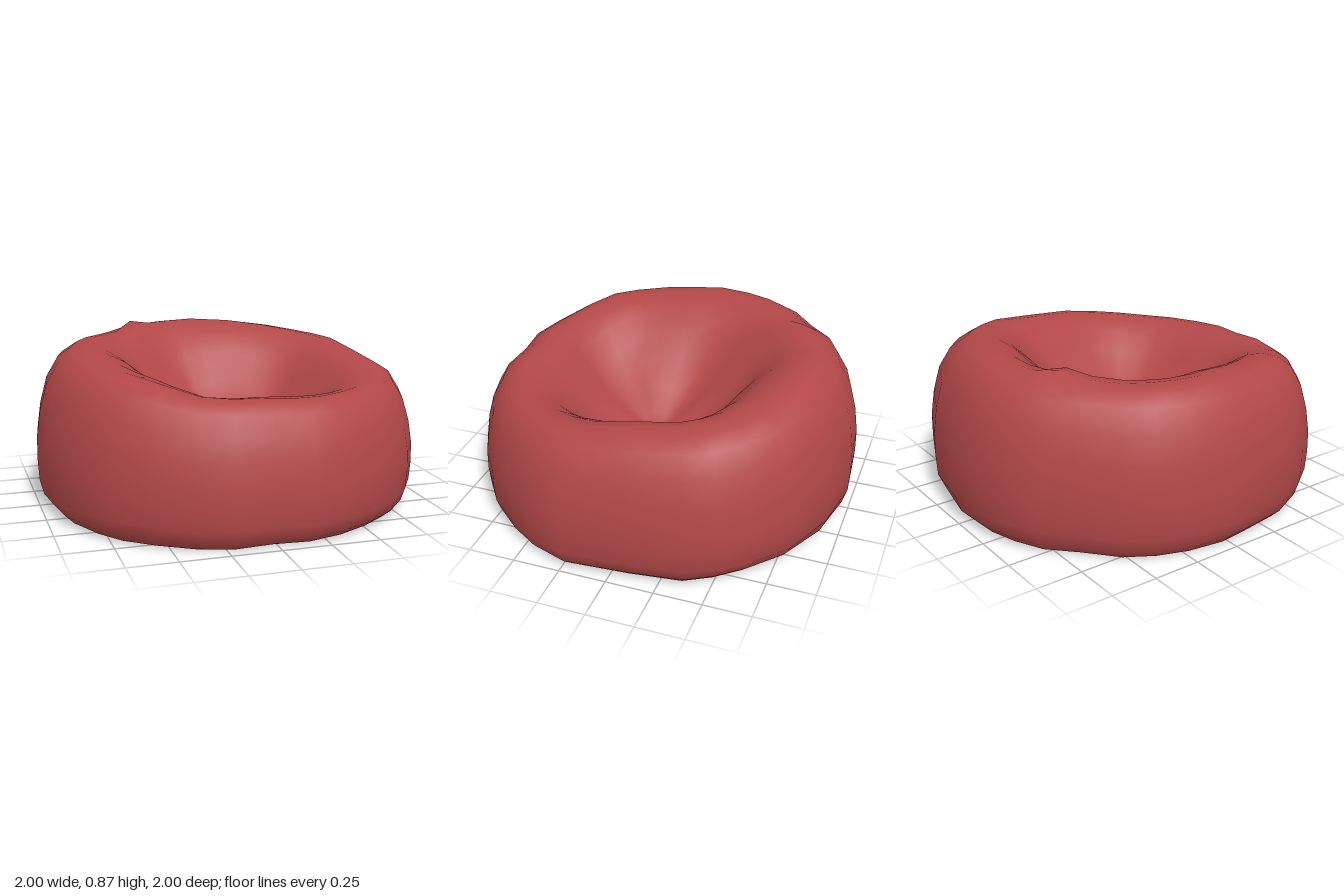
import * as THREE from 'three';

// Widest outline of the cushion as x, z pairs, running back -> left -> front -> right
const OUTLINE = [
  0.03, -1, 0.33, -0.95, 0.6, -0.83, 0.77, -0.68, 0.88, -0.54, 0.955, -0.39, 0.98, -0.1, 1, 0.24,
  0.93, 0.44, 0.83, 0.6, 0.7, 0.75, 0.55, 0.86, 0.37, 0.95, 0.18, 1, -0.02, 0.985, -0.22, 1,
  -0.41, 0.945, -0.6, 0.83, -0.75, 0.71, -0.85, 0.57, -0.945, 0.37, -0.98, 0.14, -1, -0.03,
  -0.97, -0.24, -0.91, -0.41, -0.82, -0.56, -0.65, -0.71, -0.51, -0.85, -0.35, -0.93, -0.19, -0.98,
];

// Rim height every 22.5 degrees, from +x towards +z
const RIM = [
  0.74, 0.7, 0.668, 0.67, 0.683, 0.697, 0.768, 0.79,
  0.82, 0.825, 0.825, 0.84, 0.852, 0.835, 0.8, 0.775,
];

// Outer wall: radius fraction, height fraction of the rim, z shift of the ring
const WALL = [
  [0.83, 0.004, -0.08], [0.925, 0.006, 0], [0.972, 0.065, 0], [0.993, 0.16, 0], [1, 0.3, 0],
  [0.998, 0.45, 0], [0.978, 0.62, 0], [0.94, 0.79, 0], [0.875, 0.925, 0], [0.8, 0.985, 0],
];

// Seat hollow: fraction of the way from its centre to the rim, height fraction
const HOLLOW = [[1, 1], [0.89, 0.965], [0.78, 0.86], [0.65, 0.65], [0.52, 0.44], [0.36, 0.26], [0.18, 0.11]];
const DIP = new THREE.Vector3(0.05, 0.27, 0.07);

function rimHeight(a) {
  const u = ((a / (Math.PI / 8)) + 16) % 16;
  const i = Math.floor(u);
  return THREE.MathUtils.lerp(RIM[i % 16], RIM[(i + 1) % 16], u - i);
}

// Soft bump around one angle
function bump(a, centre, width) {
  const d = Math.atan2(Math.sin(a - centre), Math.cos(a - centre)) / width;
  return Math.exp(-d * d);
}

// The front shoulder is fuller than the rest
const fullness = (a) => Math.max(0, Math.sin(a + 0.3));

function cushionGeometry() {
  const sides = OUTLINE.length / 2;
  const pos = [];
  const index = [];

  // Rings from the opening underneath up the outside wall
  for (const [r, h, shift] of WALL) {
    for (let i = 0; i < sides; i++) {
      const x = OUTLINE[2 * i], z = OUTLINE[2 * i + 1];
      const a = Math.atan2(z, x);
      const tuck = h < 0.1 ? 0.03 * bump(a, -0.8, 0.5) : 0;
      const front = h > 0.6 ? 0.2 * h * fullness(a) * (1 - r) : 0;
      const k = r - tuck + front;
      pos.push(x * k, rimHeight(a) * h, z * k + shift);
    }
  }

  // Rings down into the hollow, with padded back and side and shallow radial folds
  for (const [s, f] of HOLLOW) {
    for (let i = 0; i < sides; i++) {
      const x = OUTLINE[2 * i], z = OUTLINE[2 * i + 1];
      const a = Math.atan2(z, x);
      const crest = 0.72 + 0.06 * fullness(a);
      const pinch = 0.035 * bump(a, -2.11, 0.12) * (s > 0.85 ? 1 : 0);
      const fold = 0.018 * Math.cos(5 * a - 0.9) * Math.sin(Math.PI * s);
      const pad = 0.06 * (bump(a, -1.4, 0.45) + bump(a, 3.1, 0.5)) * Math.exp(-(((s - 0.66) / 0.14) ** 2));
      const lift = 0.04 * bump(a, 2.4, 0.6) * Math.exp(-(((s - 0.36) / 0.2) ** 2));
      pos.push(
        THREE.MathUtils.lerp(DIP.x, x * crest, s),
        THREE.MathUtils.lerp(DIP.y, rimHeight(a), f) + fold + pinch + pad + lift,
        THREE.MathUtils.lerp(DIP.z, z * crest, s),
      );
    }
  }

  // Skin the rings and close the hollow at its centre
  const rings = WALL.length + HOLLOW.length;
  const tip = rings * sides;
  pos.push(DIP.x, DIP.y, DIP.z);
  for (let j = 0; j < rings; j++) {
    for (let i = 0; i < sides; i++) {
      const n = (i + 1) % sides;
      const a = j * sides + i, b = j * sides + n;
      if (j === rings - 1) index.push(a, tip, b);
      else index.push(a, a + sides, b, b, a + sides, b + sides);
    }
  }

  const geo = new THREE.BufferGeometry();
  geo.setAttribute('position', new THREE.Float32BufferAttribute(pos, 3));
  geo.setIndex(index);
  geo.computeVertexNormals();
  return geo;
}

export function createModel() {
  const group = new THREE.Group();
  group.name = 'beanBagChair';

  const fabric = new THREE.MeshStandardMaterial({ color: 0xb34848, side: THREE.DoubleSide });
  fabric.name = 'red fabric';

  const cushion = new THREE.Mesh(cushionGeometry(), fabric);
  cushion.name = 'cushion';
  group.add(cushion);
  return group;
}
